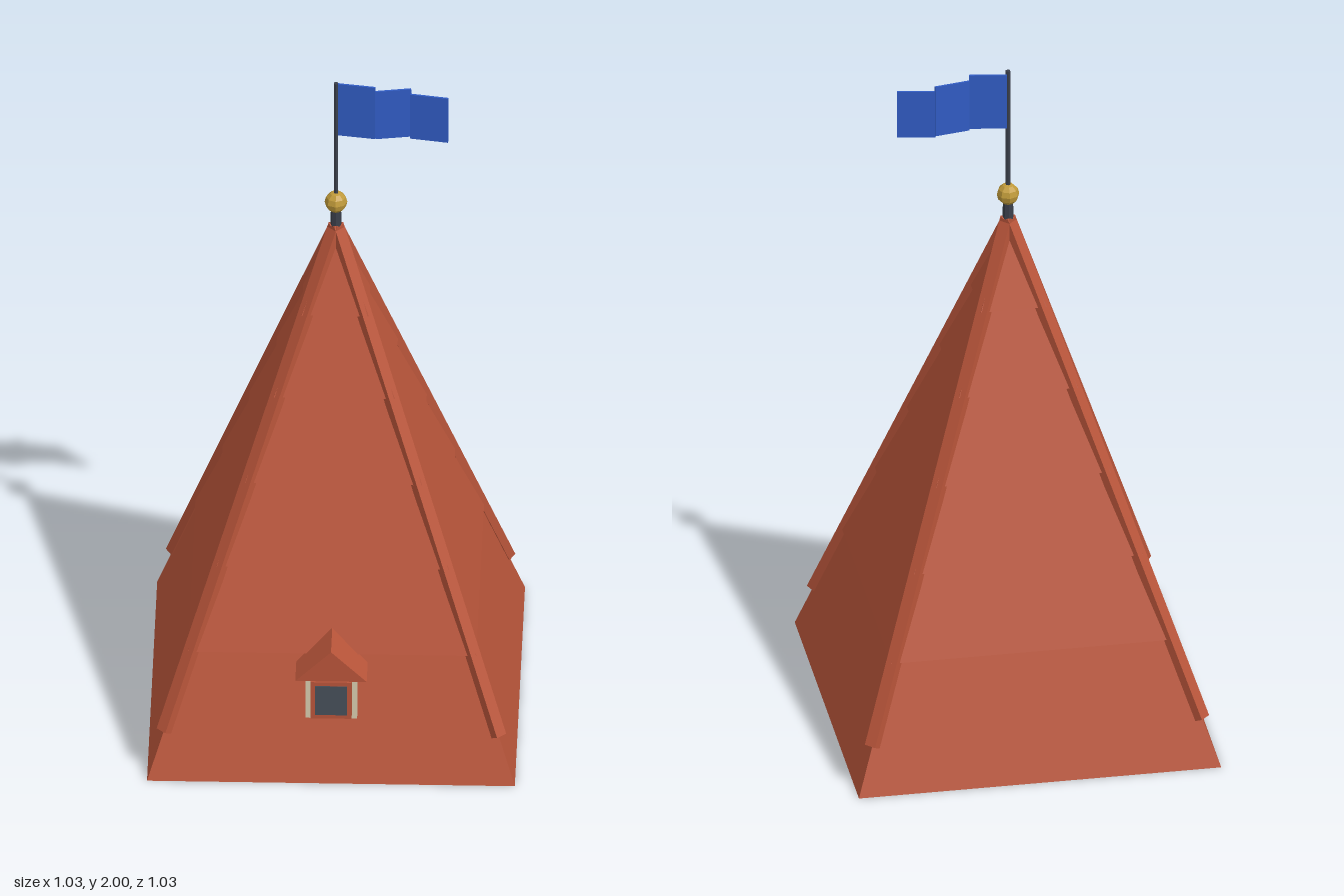
import * as THREE from 'three';

const mat = (name, color) => {
  const m = new THREE.MeshStandardMaterial({ color, flatShading: true });
  m.name = name;
  return m;
};

export function createModel() {
  const tile = mat('terracotta tile', 0xb9553a);
  const cream = mat('cream plaster', 0xd8ccae);
  const glass = mat('dark glass', 0x47505a);
  const iron = mat('dark iron', 0x3a3f4a);
  const gold = mat('gold', 0xc09a3a);
  const cloth = mat('blue cloth', 0x315cc4);

  const model = new THREE.Group();
  model.name = 'spireRoof';
  const add = (name, geometry, material, x = 0, y = 0, z = 0, parent = model) => {
    const mesh = new THREE.Mesh(geometry, material);
    mesh.name = name;
    mesh.position.set(x, y, z);
    parent.add(mesh);
    return mesh;
  };
  const box = (w, h, d) => new THREE.BoxGeometry(w, h, d);

  // Tiled pyramid: each course overhangs the one below by a small lip
  const half = 0.515, apex = 1.535;
  const halfAt = (y) => half * (1 - y / apex);
  const levels = [0, 0.36, 0.595, 0.825, 1.06, 1.285, apex];
  for (let i = 0; i < 6; i++) {
    const [y0, y1] = [levels[i], levels[i + 1]];
    const bottom = halfAt(y0) + (i ? 0.01 : 0);
    const g = new THREE.CylinderGeometry(halfAt(y1) * Math.SQRT2, bottom * Math.SQRT2, y1 - y0, 4);
    g.rotateY(Math.PI / 4);
    add('roofCourse' + (i + 1), g, tile, 0, (y0 + y1) / 2);
  }

  // Ridge boards along the four hips
  const top = new THREE.Vector3(0, apex - 0.005, 0);
  for (const sx of [-1, 1]) for (const sz of [-1, 1]) {
    const foot = new THREE.Vector3(sx * halfAt(0.137), 0.137, sz * halfAt(0.137));
    const mid = foot.clone().add(top).multiplyScalar(0.5);
    const board = add('hipRidge', box(0.035, 0.025, foot.distanceTo(top)), tile, mid.x, mid.y, mid.z);
    board.lookAt(top);
  }

  // Dormer with gabled roof and framed window
  const dormer = new THREE.Group();
  dormer.name = 'dormer';
  model.add(dormer);
  add('dormerWall', box(0.145, 0.14, 0.16), cream, 0, 0.267, 0.403, dormer);
  const gable = new THREE.Shape([
    new THREE.Vector2(-0.1, 0.333), new THREE.Vector2(0.1, 0.333), new THREE.Vector2(0, 0.43),
  ]);
  add('dormerRoof', new THREE.ExtrudeGeometry(gable, { depth: 0.175, bevelEnabled: false }),
    tile, 0, 0, 0.33, dormer);
  add('windowFrame', box(0.115, 0.12, 0.02), tile, 0, 0.267, 0.491, dormer);
  add('windowPane', box(0.09, 0.095, 0.006), glass, 0, 0.267, 0.5, dormer);

  // Finial, ball and flagpole
  add('finialCollar', new THREE.CylinderGeometry(0.014, 0.017, 0.08, 8), iron, 0, 1.55);
  add('finialBall', new THREE.SphereGeometry(0.032, 8, 6), gold, 0, 1.606);
  add('flagpole', new THREE.CylinderGeometry(0.007, 0.007, 0.44, 6), iron, 0, 1.78);

  // Flag of three zigzag panels: x0, z0, x1, z1, bottom, top
  const panels = [
    [0.004, -0.01, 0.11, 0.007, 1.822, 1.992],
    [0.11, 0.003, 0.21, -0.014, 1.819, 1.976],
    [0.208, -0.011, 0.314, 0.008, 1.814, 1.96],
  ];
  for (const [x0, z0, x1, z1, y0, y1] of panels) {
    const panel = add('flagPanel', box(Math.hypot(x1 - x0, z1 - z0), y1 - y0, 0.006), cloth,
      (x0 + x1) / 2, (y0 + y1) / 2, (z0 + z1) / 2);
    panel.rotation.y = -Math.atan2(z1 - z0, x1 - x0);
  }
  return model;
}
